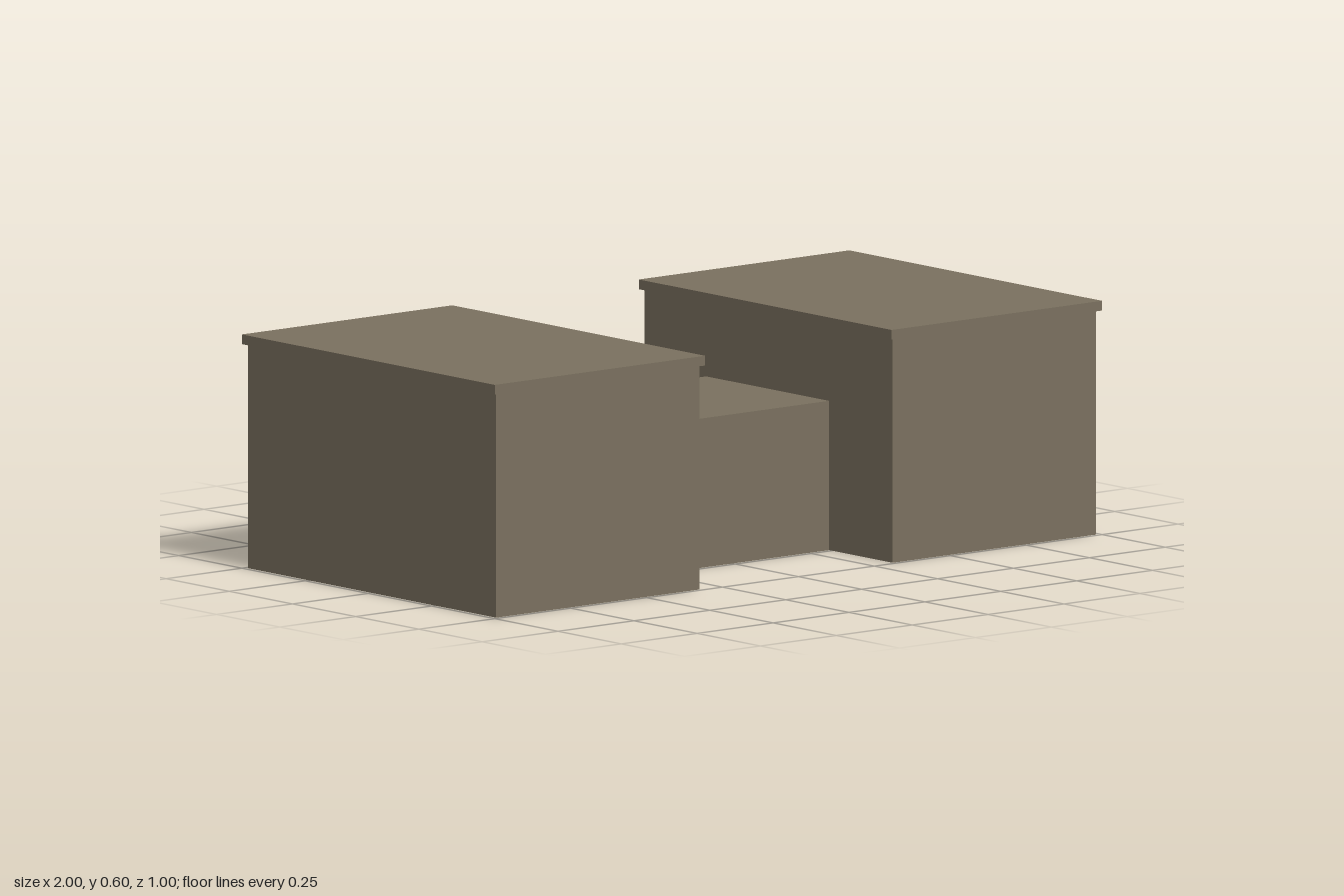
import * as THREE from 'three';

// Box faces in index order; each takes six indices
const FACES = ['right', 'left', 'top', 'bottom', 'front', 'back'];

// Thin-walled box spanning the given ranges, without the omitted faces
function box(name, material, [x0, x1], [y0, y1], [z0, z1], omit = []) {
  const geometry = new THREE.BoxGeometry(x1 - x0, y1 - y0, z1 - z0);
  const all = Array.from(geometry.index.array);
  geometry.setIndex(all.filter((_, i) => !omit.includes(FACES[Math.floor(i / 6)])));
  geometry.clearGroups();
  geometry.translate((x0 + x1) / 2, (y0 + y1) / 2, (z0 + z1) / 2);
  const mesh = new THREE.Mesh(geometry, material);
  mesh.name = name;
  return mesh;
}

export function createModel() {
  const model = new THREE.Group();
  model.name = 'building';
  const stone = new THREE.MeshStandardMaterial({ color: 0x7a705f, side: THREE.DoubleSide });
  stone.name = 'brown stone';

  // Two wings: hollow walls open at the ground, with an overhanging roof slab
  for (const [side, s] of [['left', 1], ['right', -1]]) {
    const span = (a, b) => (s > 0 ? [a, b] : [-b, -a]);
    const wing = new THREE.Group();
    wing.name = side + 'Wing';
    wing.add(
      box('walls', stone, span(0.318, 0.988), [0, 0.575], [-0.49, 0.49], ['top', 'bottom']),
      box('roofSlab', stone, span(0.307, 1), [0.575, 0.6], [-0.5, 0.5]),
    );
    model.add(wing);
  }

  // Lower passage between the wings, also open at the ground
  model.add(box('passage', stone, [-0.318, 0.318], [0, 0.383], [-0.246, 0.239], ['left', 'right', 'bottom']));
  return model;
}
